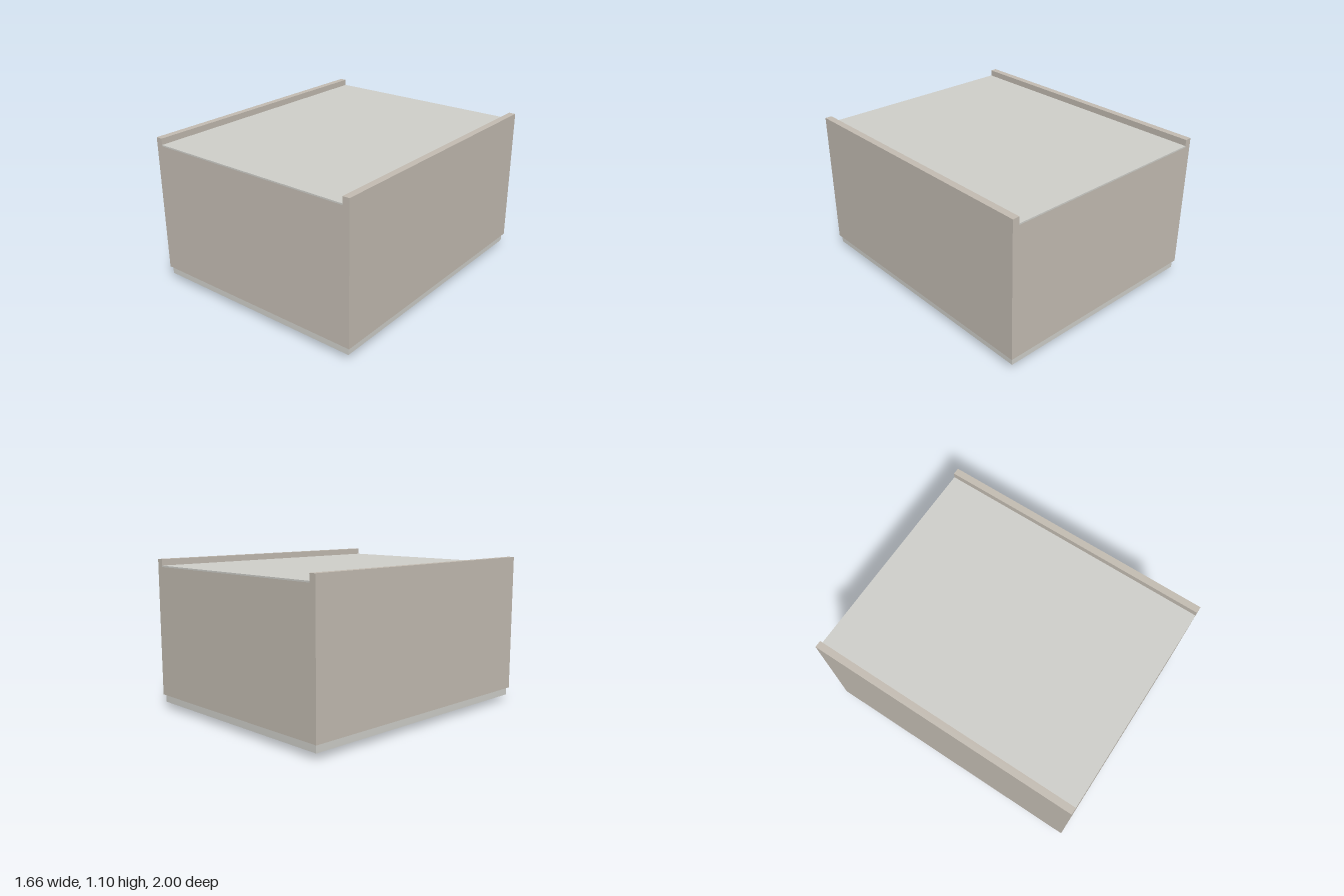
import * as THREE from 'three';

const mat = (color) => new THREE.MeshStandardMaterial({ color });

function addBox(group, name, size, center, material) {
  const mesh = new THREE.Mesh(new THREE.BoxGeometry(...size), material);
  mesh.name = name;
  mesh.position.set(...center);
  group.add(mesh);
}

export function createModel() {
  const group = new THREE.Group();
  group.name = 'cabinet';
  const shellMat = mat(0xc4bdb3);
  const panelMat = mat(0xd0d0cb);
  const handleMat = mat(0x808084);

  // Cabinet body: block profile with a raised rail along each side
  const profile = new THREE.Shape([
    [-0.83, 0.1], [0.83, 0.1], [0.83, 1.095], [0.78, 1.095],
    [0.78, 1.04], [-0.78, 1.04], [-0.78, 1.095], [-0.83, 1.095],
  ].map(([x, y]) => new THREE.Vector2(x, y)));
  const bodyGeo = new THREE.ExtrudeGeometry(profile, { depth: 2, bevelEnabled: false });
  bodyGeo.translate(0, 0, -1);
  const body = new THREE.Mesh(bodyGeo, shellMat);
  body.name = 'body';
  group.add(body);

  // Thin sheet lying between the rails
  addBox(group, 'topPanel', [1.56, 0.01, 2], [0, 1.045, 0], panelMat);

  // Door panel underneath, slightly smaller than the body
  addBox(group, 'door', [1.63, 0.055, 1.974], [0, 0.0725, 0], panelMat);

  // Bar handle below the door, near the front
  addBox(group, 'handle', [0.316, 0.045, 0.038], [0, 0.0225, 0.742], handleMat);

  return group;
}
